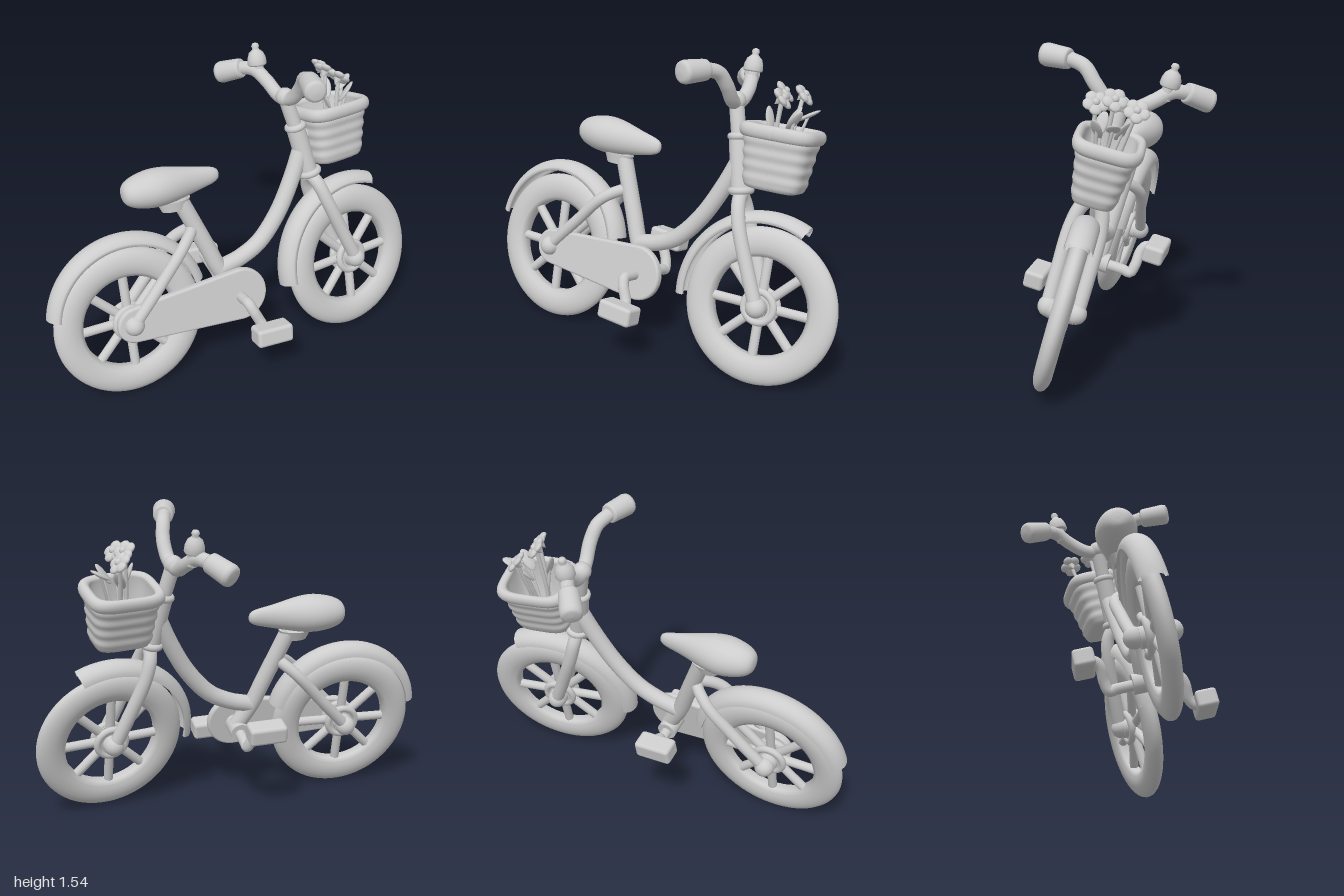
import * as THREE from 'three';
import { RoundedBoxGeometry } from 'three/addons/geometries/RoundedBoxGeometry.js';

const V = (x, y, z = 0) => new THREE.Vector3(x, y, z);
const grey = new THREE.MeshStandardMaterial({ color: 0xcccccc, side: THREE.DoubleSide });
grey.name = 'light grey';

function add(parent, name, geo, pos) {
  const m = new THREE.Mesh(geo, grey);
  m.name = name;
  if (pos) m.position.copy(pos);
  parent.add(m);
  return m;
}
function tube(parent, name, pts, r, seg = 40) {
  const curve = new THREE.CatmullRomCurve3(pts.map(p => V(...p)), false, 'centripetal');
  return add(parent, name, new THREE.TubeGeometry(curve, seg, r, 14));
}
// straight round bar between two points
function bar(parent, name, a, b, r) {
  const A = V(...a), B = V(...b), d = B.clone().sub(A);
  const m = add(parent, name, new THREE.CylinderGeometry(r, r, d.length(), 20), A.clone().add(B).multiplyScalar(0.5));
  m.quaternion.setFromUnitVectors(V(0, 1, 0), d.normalize());
}
const ball = (parent, name, p, r) => add(parent, name, new THREE.SphereGeometry(r, 18, 12), V(...p));
const lathe = (pts, seg, a, b) =>
  new THREE.LatheGeometry(pts.map(p => new THREE.Vector2(...p)), seg, a, b);

function wheel(x) {
  const g = new THREE.Group();
  g.name = 'wheel';
  g.position.set(x, 0.383, 0);
  // tyre: flat inner band, round outside
  const prof = [];
  for (let i = 0; i <= 16; i++) {
    const a = -2.3 + 4.6 * i / 16;
    prof.push([0.305 + 0.073 * Math.cos(a), 0.043 * Math.sin(a)]);
  }
  prof.push([0.237, 0.022], [0.237, -0.022], prof[0]);
  add(g, 'tyre', lathe(prof, 64).rotateX(Math.PI / 2));
  for (let i = 0; i < 8; i++) {
    const a = i * Math.PI / 4, c = Math.cos(a), s = Math.sin(a);
    bar(g, 'spoke', [0.04 * c, 0.04 * s, 0], [0.25 * c, 0.25 * s, 0], 0.023);
  }
  add(g, 'hub', new THREE.CylinderGeometry(0.05, 0.05, 0.13, 24).rotateX(Math.PI / 2));
  for (const s of [-1, 1]) {
    add(g, 'hubFlange', new THREE.CylinderGeometry(0.075, 0.075, 0.03, 28).rotateX(Math.PI / 2), V(0, 0, 0.022 * s));
    add(g, 'hubRing', new THREE.TorusGeometry(0.074, 0.018, 10, 32), V(0, 0, 0.028 * s));
  }
  return g;
}

// arched mudguard, angles in degrees from +x
function fender(parent, x, y, r, from, to) {
  const out = [], inn = [];
  for (let i = 0; i <= 12; i++) {
    const a = -1.5 + 3 * i / 12;
    out.push([r + 0.06 * Math.cos(a), 0.066 * Math.sin(a)]);
    inn.unshift([r + 0.04 * Math.cos(a), 0.05 * Math.sin(a)]);
  }
  const R = Math.PI / 180, prof = [...out, ...inn, out[0]];
  add(parent, 'fender', lathe(prof, 48, (from + 90) * R, (to - from) * R).rotateX(Math.PI / 2), V(x, y, 0));
}

function seat(parent) {
  // sphere reshaped to a blunt teardrop with a narrow nose
  const geo = new THREE.SphereGeometry(1, 36, 32).rotateZ(-Math.PI / 2), p = geo.attributes.position;
  for (let i = 0; i < p.count; i++) {
    const x = p.getX(i), y = p.getY(i), z = p.getZ(i), u = (x + 1) / 2;
    const r = Math.hypot(y, z), k = r > 1e-5 ? Math.pow(r, 0.62) / r : 0;
    const t = THREE.MathUtils.smoothstep(u, 0.25, 0.9);
    const h = THREE.MathUtils.lerp(0.098, 0.062, t);
    p.setXYZ(i, -0.55 + 0.495 * u, 1.018 - 0.008 * t + h * y * k, THREE.MathUtils.lerp(0.108, 0.042, t) * z * k);
  }
  geo.computeVertexNormals();
  add(parent, 'seat', geo);
  add(parent, 'seatClamp', new THREE.CylinderGeometry(0.085, 0.065, 0.05, 24).scale(1, 1, 0.6), V(-0.3, 0.91, 0));
}

function basket(parent) {
  // banded wall, rolled rim, then the inside down to the floor
  const prof = [[0, 0], [0.11, 0], [0.13, 0.008]];
  for (let i = 0; i <= 24; i++) {
    const t = i / 24;
    prof.push([0.14 + 0.026 * t + 0.003 * Math.cos((t * 4 - 0.5) * Math.PI * 2), 0.02 + 0.23 * t]);
  }
  for (let i = 0; i <= 10; i++) {
    const a = -1.2 + 3.9 * i / 10;
    prof.push([0.161 + 0.026 * Math.cos(a), 0.268 + 0.034 * Math.sin(a)]);
  }
  prof.push([0.146, 0.23], [0.12, 0.03], [0, 0.03]);
  // square off the round section, leaving the centre points alone
  const geo = lathe(prof, 56), p = geo.attributes.position;
  for (let i = 0; i < p.count; i++) {
    const x = p.getX(i), y = p.getY(i), z = p.getZ(i), r = Math.hypot(x, z);
    const f = r > 1e-5 ? 1 / Math.pow((x / r) ** 4 + (z / r) ** 4, 0.25) : 1;
    p.setXYZ(i, x * f, y, z * f * THREE.MathUtils.lerp(0.72, 0.87, y / 0.3));
  }
  geo.computeVertexNormals();
  add(parent, 'basket', geo, V(0.593, 0.932, 0));
  bar(parent, 'basketBracket', [0.4, 1.1, 0], [0.48, 1.1, 0], 0.03);
}

function flower(parent, base, top, spin) {
  tube(parent, 'stem', [base, [(base[0] + top[0]) / 2 - 0.01, (base[1] + top[1]) / 2, (base[2] + top[2]) / 2], top], 0.01, 10);
  const head = new THREE.Group();
  head.name = 'flower';
  head.position.set(...top);
  head.rotation.set(0.1, spin, -0.8);
  for (let i = 0; i < 5; i++) {
    const a = i * Math.PI * 0.4;
    add(head, 'petal', new THREE.SphereGeometry(0.029, 12, 8).scale(1, 0.5, 1), V(0.031 * Math.cos(a), 0.004, 0.031 * Math.sin(a)));
  }
  add(head, 'flowerCentre', new THREE.SphereGeometry(0.019, 12, 8), V(0, 0.01, 0));
  add(head, 'flowerCup', new THREE.ConeGeometry(0.03, 0.045, 10).rotateX(Math.PI), V(0, -0.018, 0));
  parent.add(head);
}

export function createModel() {
  const model = new THREE.Group();
  model.name = 'bicycle';
  // the whole bike leans over
  const bike = new THREE.Group();
  bike.name = 'leaningBike';
  bike.position.set(0, 0, 0.22);
  bike.rotation.set(-0.24, -0.035, 0);
  model.add(bike);

  // rear wheel and frame
  bike.add(wheel(-0.61));
  fender(bike, -0.605, 0.43, 0.348, 12, 170);
  tube(bike, 'mainTube', [[0.4, 1.03, 0], [0.34, 0.9, 0], [0.24, 0.73, 0], [0.12, 0.6, 0], [0.01, 0.545, 0], [-0.07, 0.525, 0], [-0.11, 0.515, 0]], 0.043);
  tube(bike, 'seatTube', [[-0.04, 0.4, 0], [-0.11, 0.52, 0], [-0.16, 0.65, 0], [-0.27, 0.93, 0]], 0.042);
  seat(bike);
  tube(bike, 'rearStays', [[-0.61, 0.39, -0.088], [-0.45, 0.56, -0.088], [-0.31, 0.71, -0.075], [-0.23, 0.765, 0],
    [-0.31, 0.71, 0.075], [-0.45, 0.56, 0.088], [-0.61, 0.39, 0.088]], 0.029, 70);
  for (const s of [-1, 1]) ball(bike, 'rearAxleCap', [-0.61, 0.388, 0.085 * s], 0.05);

  // chain case
  const sh = new THREE.Shape();
  sh.absarc(-0.04, 0.385, 0.125, -1.66, 1.66, false);
  sh.absarc(-0.6, 0.385, 0.08, 1.66, Math.PI * 2 - 1.66, false);
  add(bike, 'chainCase', new THREE.ExtrudeGeometry(sh, {
    depth: 0.016, bevelSize: 0.012, bevelThickness: 0.012, bevelSegments: 4, curveSegments: 32 }), V(0, 0, 0.062));

  // cranks and pedals, opposite each other
  bar(bike, 'bottomBracket', [-0.045, 0.38, -0.06], [-0.045, 0.38, 0.06], 0.05);
  for (const s of [-1, 1]) {
    tube(bike, 'crank', [[-0.045, 0.375, 0], [-0.045, 0.375, 0.14 * s], [-0.043, 0.37, 0.175 * s], [-0.03, 0.375 - 0.04 * s, 0.19 * s],
      [0, 0.375 - 0.11 * s, 0.195 * s], [0.01, 0.375 - 0.14 * s, 0.215 * s], [0.01, 0.375 - 0.145 * s, 0.26 * s]]
      .map(p => [s > 0 ? p[0] : -0.09 - p[0], p[1], p[2]]), 0.027);
    const ped = add(bike, 'pedal', new RoundedBoxGeometry(0.19, 0.092, 0.105, 3, 0.018),
      V(-0.043 + 0.066 * s, 0.37 - 0.14 * s, 0.27 * s));
    ped.rotation.z = -0.05;
  }

  // steering assembly turns about the head tube
  const pivot = new THREE.Group();
  pivot.name = 'steering';
  pivot.position.set(0.43, 0.9, 0);
  pivot.quaternion.setFromAxisAngle(V(-0.085, 0.43, 0).normalize(), 0.175);
  bike.add(pivot);
  const st = new THREE.Group();
  st.name = 'steeringParts';
  st.position.set(-0.43, -0.9, 0);
  pivot.add(st);

  st.add(wheel(0.625));
  fender(st, 0.628, 0.398, 0.378, 66, 186);
  tube(st, 'fork', [[0.625, 0.388, -0.07], [0.56, 0.54, -0.072], [0.48, 0.74, -0.07], [0.45, 0.84, -0.045], [0.44, 0.88, 0],
    [0.45, 0.84, 0.045], [0.48, 0.74, 0.07], [0.56, 0.54, 0.072], [0.625, 0.388, 0.07]], 0.034, 80);
  for (const s of [-1, 1]) ball(st, 'frontAxleCap', [0.625, 0.386, 0.066 * s], 0.05);
  bar(st, 'headTube', [0.435, 0.88, 0], [0.38, 1.15, 0], 0.047);
  for (const [x, y, r] of [[0.435, 0.9, 0.046], [0.382, 1.15, 0.038]]) {
    const c = add(st, 'headCollar', new THREE.TorusGeometry(r, 0.018, 12, 28).rotateX(Math.PI / 2), V(x, y, 0));
    c.rotation.z = 0.2;
  }
  bar(st, 'stem', [0.385, 1.13, 0], [0.34, 1.31, 0], 0.036);
  ball(st, 'stemClamp', [0.34, 1.31, 0], 0.046);
  const half = [[0.342, 1.315, 0.065], [0.338, 1.375, 0.14], [0.315, 1.43, 0.205], [0.28, 1.438, 0.28]];
  tube(st, 'handlebar', [...half.map(p => [p[0], p[1], -p[2]]).reverse(), [0.34, 1.3, 0], ...half], 0.034, 80);
  for (const s of [-1, 1]) {
    const g = add(st, 'grip', lathe([[0, 0], [0.04, 0], [0.048, 0.008], [0.05, 0.02], [0.055, 0.125], [0.05, 0.142], [0.035, 0.15], [0, 0.152]], 24),
      V(0.285, 1.438, 0.27 * s + 0.008));
    g.quaternion.setFromUnitVectors(V(0, 1, 0), V(-0.065, -0.028, 0.14 * s).normalize());
  }
  // bell
  add(st, 'bell', lathe([[0, 0], [0.043, 0], [0.048, 0.008], [0.046, 0.035], [0.036, 0.062], [0.02, 0.076], [0.015, 0.084], [0.02, 0.095], [0.014, 0.108], [0, 0.112]], 24),
    V(0.325, 1.452, -0.185));
  bar(st, 'bellMount', [0.33, 1.39, -0.18], [0.325, 1.46, -0.185], 0.028);

  // basket with flowers and leaves
  basket(st);
  flower(st, [0.59, 0.95, 0.03], [0.595, 1.36, 0.105], 0.2);
  flower(st, [0.57, 0.95, 0.0], [0.575, 1.39, 0.03], 0.3);
  flower(st, [0.62, 0.95, -0.03], [0.635, 1.385, -0.075], 0.1);
  for (const [x, y, z, tilt, turn] of [[0.7, 1.3, 0.0, -1.0, 0.2], [0.54, 1.26, 0.06, 0.3, -0.3], [0.62, 1.28, -0.04, -0.5, 0.8], [0.66, 1.27, 0.07, -0.7, -0.5]]) {
    bar(st, 'leafStalk', [0.6, 0.95, 0], [x, y, z], 0.007);
    const leaf = add(st, 'leaf', new THREE.SphereGeometry(1, 12, 8).scale(0.01, 0.06, 0.03), V(x, y, z));
    leaf.rotation.set(0, turn, tilt);
  }
  return model;
}
